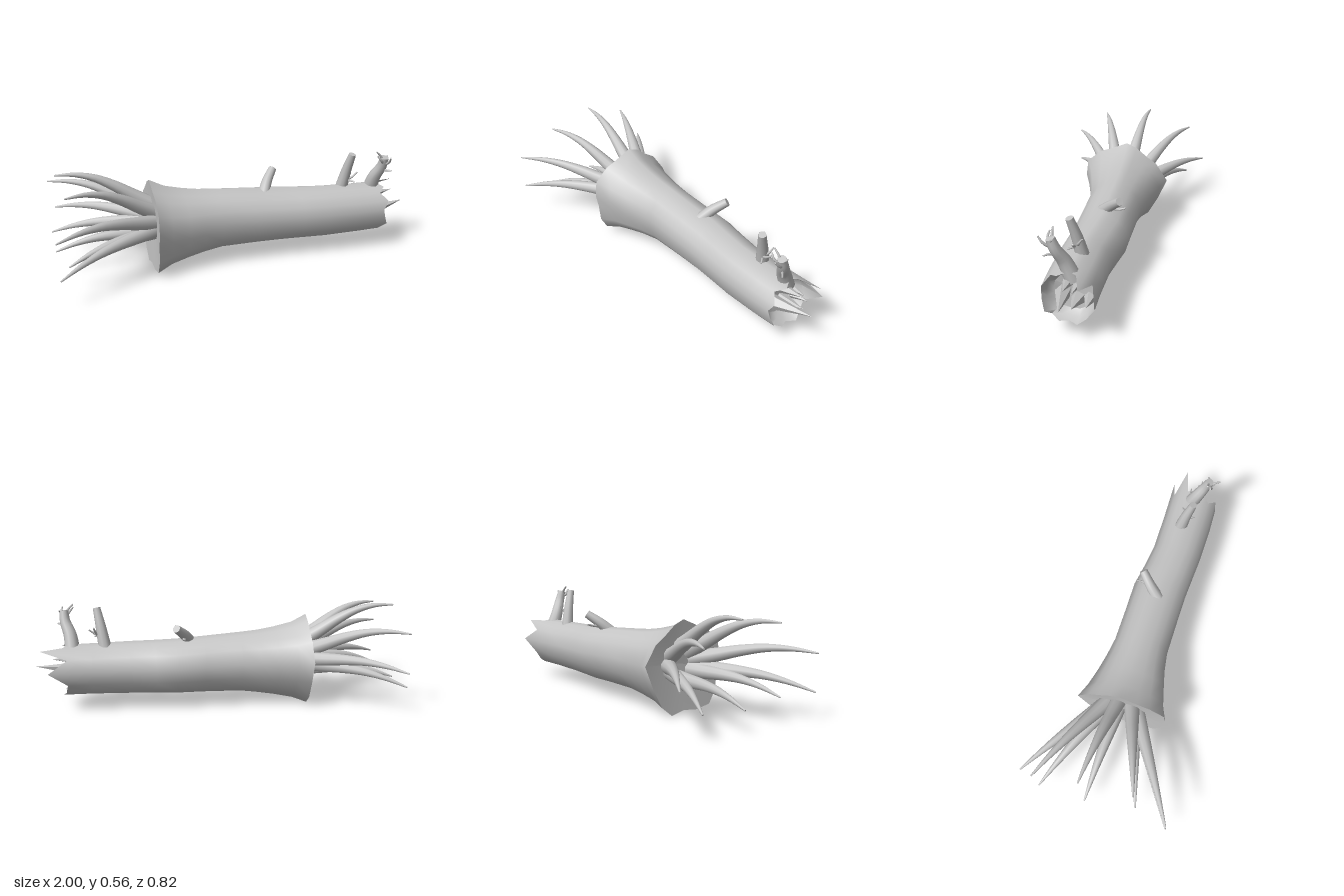
import * as THREE from 'three';
import { toCreasedNormals } from 'three/addons/utils/BufferGeometryUtils.js';

const bark = new THREE.MeshStandardMaterial({ color: 0xc4c4c4, side: THREE.DoubleSide });
bark.name = 'grey bark';

// Irregular outline of the flared root end, as [z, y] going up from the left side
const OUTLINE = [
  [0.245, 0.27], [0.235, 0.36], [0.16, 0.425], [0.09, 0.45], [0, 0.487], [-0.06, 0.46],
  [-0.12, 0.41], [-0.175, 0.372], [-0.242, 0.27], [-0.19, 0.15], [-0.135, 0.05], [-0.07, 0],
  [0.01, 0.02], [0.09, 0.012], [0.18, 0.03], [0.22, 0.1], [0.23, 0.2],
];
const N = OUTLINE.length;

// One cross-section: centre and radii, with rough blending from an ellipse to the outline
function ring(x, yc, zc, ry, rz, rough) {
  return OUTLINE.map(([z, y], i) => {
    const u = z / 0.24, v = (y - 0.25) / 0.24;
    const a = Math.atan2(v, u);
    const r = 1 + (Math.hypot(u, v) - 1) * rough;
    const px = Array.isArray(x) ? x[i] : x;
    return new THREE.Vector3(px, yc + Math.sin(a) * r * ry, zc + Math.cos(a) * r * rz);
  });
}

// Skin over a row of closed cross-sections
function skin(rings, crease) {
  const pos = [], index = [];
  rings.forEach((r) => r.forEach((p) => pos.push(p.x, p.y, p.z)));
  for (let j = 0; j < rings.length - 1; j++) {
    for (let i = 0; i < N; i++) {
      const k = (i + 1) % N;
      const a = j * N + i, b = j * N + k, c = a + N, d = b + N;
      index.push(a, c, b, b, c, d);
    }
  }
  const g = new THREE.BufferGeometry();
  g.setAttribute('position', new THREE.Float32BufferAttribute(pos, 3));
  g.setIndex(index);
  g.computeVertexNormals();
  return crease ? toCreasedNormals(g, crease) : g;
}

function add(parent, name, geometry) {
  const mesh = new THREE.Mesh(geometry, bark);
  mesh.name = name;
  parent.add(mesh);
  return mesh;
}

// Tapering tube through points, closed by a disc at its tip
function limb(parent, name, points, r0, r1, segments = 12, sides = 10) {
  const group = new THREE.Group();
  group.name = name;
  const curve = new THREE.CatmullRomCurve3(points.map((p) => new THREE.Vector3(...p)));
  const g = new THREE.TubeGeometry(curve, segments, r0, sides, false);
  const p = g.attributes.position, v = new THREE.Vector3();
  for (let i = 0; i <= segments; i++) {
    const t = i / segments, c = curve.getPointAt(t);
    const s = 1 + (r1 / r0 - 1) * Math.pow(t, 1.2);
    for (let j = 0; j <= sides; j++) {
      const n = i * (sides + 1) + j;
      v.fromBufferAttribute(p, n).sub(c).multiplyScalar(s).add(c);
      p.setXYZ(n, v.x, v.y, v.z);
    }
  }
  add(group, name + 'Side', g);
  const end = add(group, name + 'End', new THREE.CircleGeometry(r1, sides));
  end.position.copy(curve.getPointAt(1));
  end.quaternion.setFromUnitVectors(new THREE.Vector3(0, 0, 1), curve.getTangentAt(1));
  parent.add(group);
}

export function createModel() {
  const model = new THREE.Group();
  model.name = 'fallenLog';

  // Trunk, flared at the root end and splintered at the broken end
  const splinters = [0.83, 0.86, 0.82, 0.86, 0.83, 0.85, 0.97, 0.83, 0.93, 0.83, 0.84,
    0.86, 0.83, 0.85, 0.82, 0.86, 0.84];
  const flare = ring(-0.47, 0.25, 0, 0.24, 0.24, 1);
  const rim = ring(splinters, 0.223, 0.022, 0.135, 0.138, 0.35);
  rim[6].set(0.97, 0.342, -0.05);
  add(model, 'trunk', skin([
    flare,
    ring(-0.39, 0.243, -0.002, 0.206, 0.208, 0.85),
    ring(-0.29, 0.239, -0.002, 0.186, 0.183, 0.65),
    ring(-0.2, 0.238, -0.004, 0.172, 0.163, 0.55),
    ring(-0.1, 0.239, -0.004, 0.162, 0.148, 0.45),
    ring(0.1, 0.233, -0.003, 0.153, 0.147, 0.4),
    ring(0.25, 0.228, -0.003, 0.148, 0.148, 0.4),
    ring(0.36, 0.225, 0.01, 0.145, 0.142, 0.35),
    ring(0.5, 0.223, 0.024, 0.142, 0.137, 0.35),
    ring(0.7, 0.223, 0.026, 0.137, 0.138, 0.35),
    rim,
  ]));

  // Hollow inside the broken end
  add(model, 'brokenHollow', skin([
    rim,
    ring(0.8, 0.222, 0.018, 0.122, 0.124, 0.35),
    ring(0.77, 0.222, 0.015, 0.1, 0.1, 0.3),
    ring(0.755, 0.222, 0.015, 0.0005, 0.0005, 0),
  ], 0.7));

  // Closing face behind the roots
  add(model, 'rootFace', skin([ring(-0.45, 0.26, 0, 0.0005, 0.0005, 0), flare], 0.4));

  // Splinters standing in the hollow: base, tip, radius
  const spikes = [
    [[0.76, 0.285, 0.035], [0.93, 0.308, 0.03], 0.037],
    [[0.76, 0.285, -0.015], [0.91, 0.285, -0.005], 0.034],
    [[0.76, 0.203, 0.072], [1.0, 0.238, 0.035], 0.042],
    [[0.76, 0.178, -0.003], [0.91, 0.205, -0.003], 0.037],
    [[0.76, 0.19, -0.06], [0.88, 0.2, -0.065], 0.032],
  ];
  for (const [base, tip, r] of spikes) {
    const a = new THREE.Vector3(...base), b = new THREE.Vector3(...tip);
    const g = new THREE.ConeGeometry(r, a.distanceTo(b), 5).toNonIndexed();
    g.computeVertexNormals();
    const spike = add(model, 'splinter', g);
    spike.position.copy(a).lerp(b, 0.5);
    spike.quaternion.setFromUnitVectors(new THREE.Vector3(0, 1, 0), b.sub(a).normalize());
  }

  // Roots spreading out of the root face and drooping at their tips
  const rootTips = [
    [-0.95, 0.537, -0.06], [-0.93, 0.5, 0.215], [-0.97, 0.43, -0.308],
    [-1, 0.345, 0.403], [-0.93, 0.243, -0.408], [-0.99, 0.152, 0.403],
    [-0.965, 0.135, -0.305], [-0.97, 0.12, -0.05], [-0.93, 0.14, 0.22],
  ];
  for (const [x, y, z] of rootTips) {
    const d = Math.hypot(y - 0.27, z);
    const sy = 0.26 + (y - 0.265) / d * 0.075, sz = z / d * 0.075;
    const lift = 0.03 + 0.12 * Math.max(0, y - sy);
    const points = [0, 0.2, 0.4, 0.6, 0.8, 1].map((t) => [
      -0.44 + (x + 0.44) * t,
      sy + (y - sy) * t + lift * Math.sin(Math.PI * Math.pow(t, 1.3)),
      sz + (z - sz) * t,
    ]);
    limb(model, 'root', points, 0.042, 0.004, 16);
  }

  // Broken branch stubs on top
  limb(model, 'middleBranch', [[0.16, 0.34, 0.02], [0.2, 0.4, -0.04], [0.252, 0.452, -0.098]], 0.033, 0.022);
  limb(model, 'tallBranch', [[0.625, 0.32, 0.005], [0.645, 0.44, 0.03], [0.665, 0.545, 0.06]], 0.035, 0.02);
  limb(model, 'endBranch', [[0.8, 0.3, 0.01], [0.81, 0.4, 0.05], [0.835, 0.47, 0.085], [0.84, 0.525, 0.105]], 0.042, 0.023);

  // Small twigs on the branches
  const twigs = [
    [[0.2, 0.385, -0.05], [0.215, 0.39, -0.09], [0.21, 0.398, -0.122]],
    [[0.64, 0.39, 0.025], [0.675, 0.405, 0.04], [0.71, 0.43, 0.035]],
    [[0.64, 0.38, 0.02], [0.665, 0.39, 0.05], [0.68, 0.385, 0.07]],
    [[0.655, 0.4, 0.025], [0.675, 0.42, 0.015], [0.685, 0.45, -0.005]],
    [[0.835, 0.5, 0.1], [0.815, 0.535, 0.103], [0.79, 0.56, 0.105]],
    [[0.835, 0.49, 0.1], [0.81, 0.515, 0.125], [0.79, 0.54, 0.12]],
    [[0.84, 0.48, 0.1], [0.855, 0.505, 0.135], [0.85, 0.535, 0.16]],
    [[0.83, 0.44, 0.08], [0.855, 0.45, 0.11], [0.875, 0.45, 0.13]],
    [[0.84, 0.5, 0.1], [0.855, 0.515, 0.1], [0.865, 0.53, 0.09]],
  ];
  for (const t of twigs) limb(model, 'twig', t, 0.009, 0.004, 5, 6);

  return model;
}
